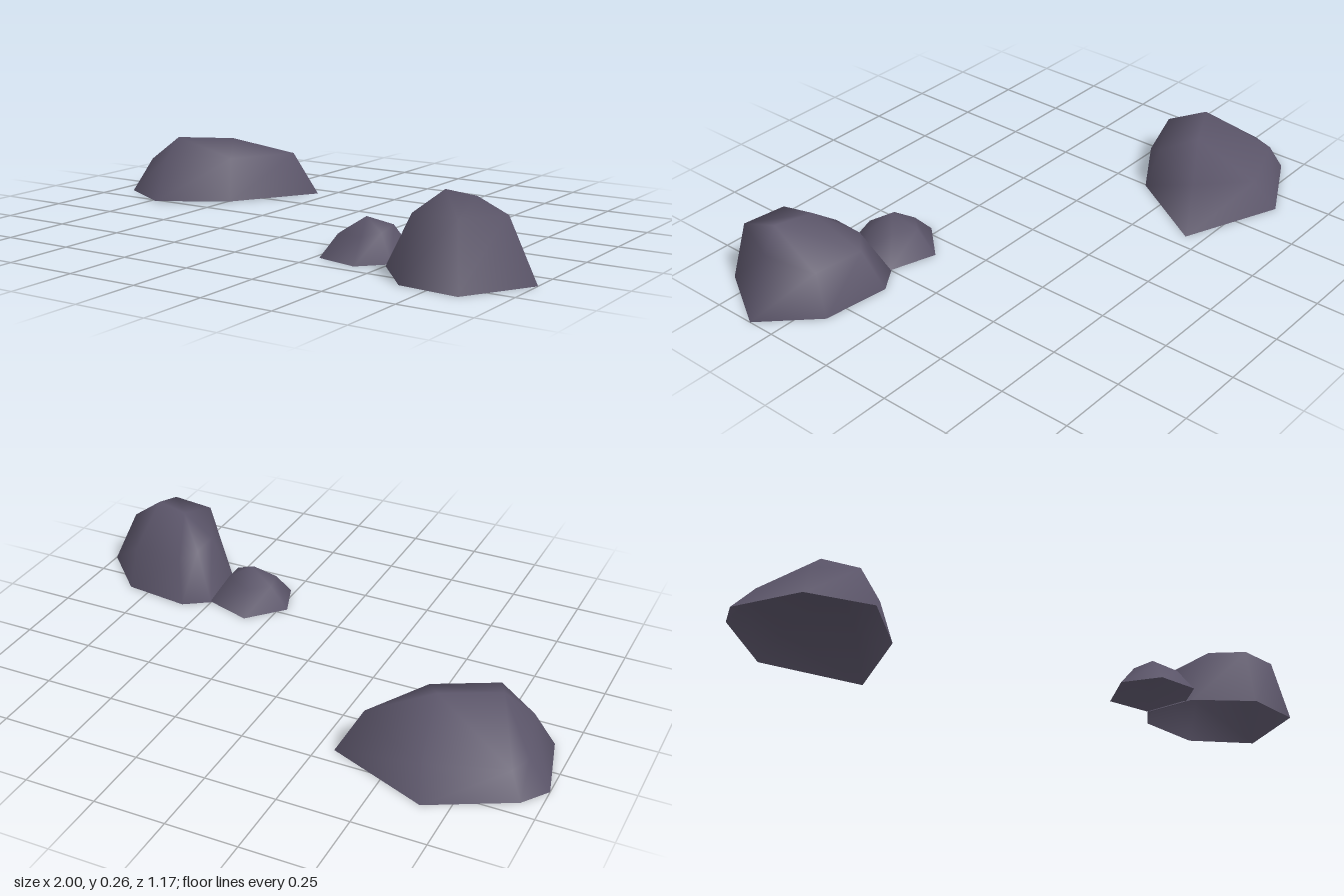
import * as THREE from 'three';

const stone = new THREE.MeshStandardMaterial({ color: 0x5a5468, side: THREE.DoubleSide });
stone.name = 'dark stone';

// Open-bottomed smooth boulder: base ring [x, z], shoulder ring and crown points [x, y, z].
// Rings run counter-clockwise seen from above.
function boulder(name, base, shoulder, crown) {
  const n = base.length;
  const points = [...base.map(([x, z]) => [x, 0, z]), ...shoulder, ...crown];
  // Each shoulder point joins its nearest crown point
  const nearest = shoulder.map(([x, , z]) => {
    const d = crown.map((c) => Math.hypot(c[0] - x, c[2] - z));
    return 2 * n + d.indexOf(Math.min(...d));
  });
  const index = [];
  for (let i = 0; i < n; i++) {
    const j = (i + 1) % n;
    index.push(i, j, n + j, i, n + j, n + i); // side wall
    index.push(n + i, n + j, nearest[i]); // slope up to the crown
    if (nearest[i] !== nearest[j]) index.push(n + j, nearest[j], nearest[i]);
  }
  const geometry = new THREE.BufferGeometry();
  geometry.setAttribute('position', new THREE.Float32BufferAttribute(points.flat(), 3));
  geometry.setIndex(index);
  geometry.computeVertexNormals();
  const mesh = new THREE.Mesh(geometry, stone);
  mesh.name = name;
  return mesh;
}

export function createModel() {
  const group = new THREE.Group();
  group.name = 'rocks';

  // Wide low rock at the back
  group.add(boulder('wideRock',
    [[-0.305, -0.44], [-0.66, -0.585], [-0.935, -0.44], [-1, -0.35], [-0.935, -0.1], [-0.73, 0.015], [-0.495, -0.13]],
    [[-0.39, 0.155, -0.4], [-0.63, 0.1, -0.51], [-0.89, 0.09, -0.41], [-0.92, 0.09, -0.33],
      [-0.87, 0.125, -0.14], [-0.73, 0.155, -0.06], [-0.52, 0.155, -0.17]],
    [[-0.78, 0.21, -0.19], [-0.59, 0.21, -0.285]]));

  // Tall rock at the front
  group.add(boulder('tallRock',
    [[0.5, 0.39], [0.65, 0.565], [0.86, 0.585], [1, 0.35], [0.83, 0.175], [0.59, 0.145], [0.5, 0.205]],
    [[0.58, 0.175, 0.37], [0.67, 0.21, 0.525], [0.83, 0.215, 0.54], [0.905, 0.205, 0.36],
      [0.82, 0.15, 0.22], [0.63, 0.145, 0.205], [0.58, 0.17, 0.26]],
    [[0.69, 0.26, 0.36], [0.82, 0.26, 0.4]]));

  // Small rock leaning against the tall one
  group.add(boulder('smallRock',
    [[0.22, 0.28], [0.27, 0.415], [0.42, 0.45], [0.505, 0.36], [0.505, 0.21], [0.335, 0.155]],
    [[0.29, 0.075, 0.29], [0.31, 0.075, 0.37], [0.41, 0.08, 0.39], [0.455, 0.09, 0.34],
      [0.445, 0.1, 0.25], [0.35, 0.085, 0.22]],
    [[0.38, 0.13, 0.31]]));

  return group;
}
